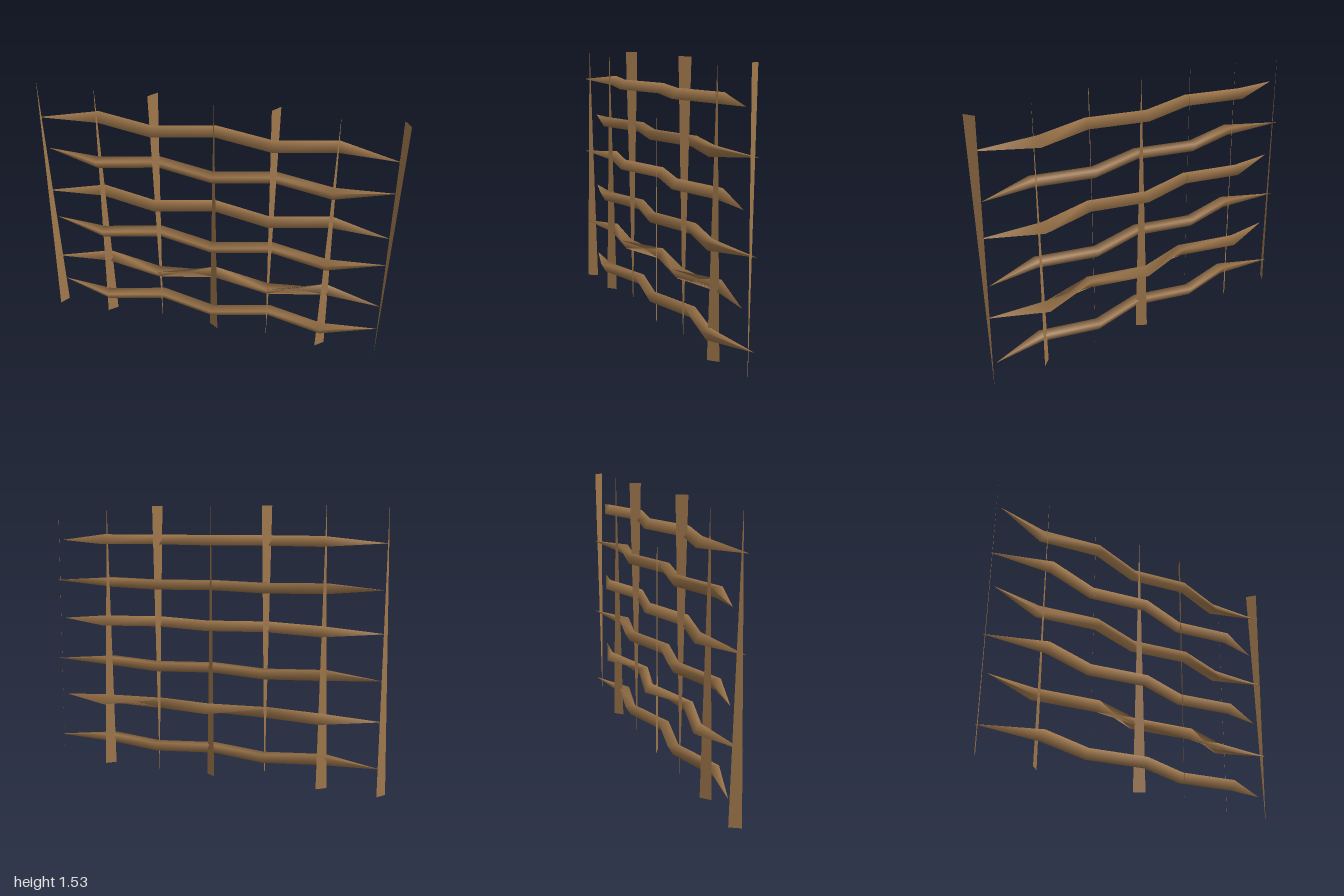
import * as THREE from 'three';

const STEP = 0.327;

// Flat stake, tapering to a point at the top, or at the bottom when flipped
function stakeGeometry(width, height, flipped) {
  const geo = new THREE.PlaneGeometry(width, height, 1, 1);
  geo.translate(0, height / 2, 0);
  const pos = geo.attributes.position;
  for (let i = 0; i < pos.count; i++) {
    const t = pos.getY(i) / height;
    pos.setX(i, pos.getX(i) * Math.max(flipped ? t : 1 - t, 0.01));
  }
  return geo;
}

// Smooth three-sided rod lofted through stations { x, z, r, roll }
function rodGeometry(stations) {
  const verts = [];
  const index = [];
  for (const { x, z, r, roll } of stations) {
    for (let j = 0; j < 3; j++) {
      const a = roll + (j * Math.PI * 2) / 3;
      verts.push(x, r * Math.sin(a), z + r * Math.cos(a));
    }
  }
  for (let i = 0; i < stations.length - 1; i++) {
    for (let j = 0; j < 3; j++) {
      const a = i * 3 + j;
      const d = i * 3 + ((j + 1) % 3);
      index.push(a, a + 3, d + 3, a, d + 3, d);
    }
  }
  const geo = new THREE.BufferGeometry();
  geo.setAttribute('position', new THREE.Float32BufferAttribute(verts, 3));
  geo.setIndex(index);
  geo.computeVertexNormals();
  return geo;
}

export function createModel() {
  const group = new THREE.Group();
  group.name = 'wattleFence';
  const wood = new THREE.MeshStandardMaterial({ color: 0xa0784c, side: THREE.DoubleSide });
  wood.name = 'brown wood';

  // Upright stakes, each turned a little differently
  const turns = [58, 42, 53, -33, 55, 43, -58];
  const flipped = [false, false, true, false, true, false, true];
  const stakes = new THREE.Group();
  stakes.name = 'stakes';
  turns.forEach((deg, i) => {
    const stake = new THREE.Mesh(stakeGeometry(0.067, 1.535, flipped[i]), wood);
    stake.name = 'stake';
    stake.position.x = (i - 3) * STEP;
    stake.rotation.y = THREE.MathUtils.degToRad(deg);
    stakes.add(stake);
  });
  group.add(stakes);

  // Woven rods, alternately passing in front of and behind the stakes
  const rods = new THREE.Group();
  rods.name = 'wovenRods';
  const up = Math.PI / 2;
  for (let row = 0; row < 6; row++) {
    const phase = row % 2 ? 1 : -1;
    const stations = [];
    for (let i = 0; i < 7; i++) {
      const side = i % 2 ? -phase : phase;
      const end = i === 0 || i === 6;
      let roll = phase * up;
      // The second rod twists as it weaves
      if (row === 1 && side > 0) roll -= Math.PI / 3;
      stations.push({
        x: end ? (i - 3) * 0.324 : (i - 3) * STEP,
        z: side * (end ? 0.038 : 0.042),
        r: end ? 0.001 : 0.037,
        roll,
      });
    }
    const rod = new THREE.Mesh(rodGeometry(stations), wood);
    rod.name = 'wovenRod';
    rod.position.y = 0.158 + row * 0.2362;
    rods.add(rod);
  }
  group.add(rods);

  return group;
}
